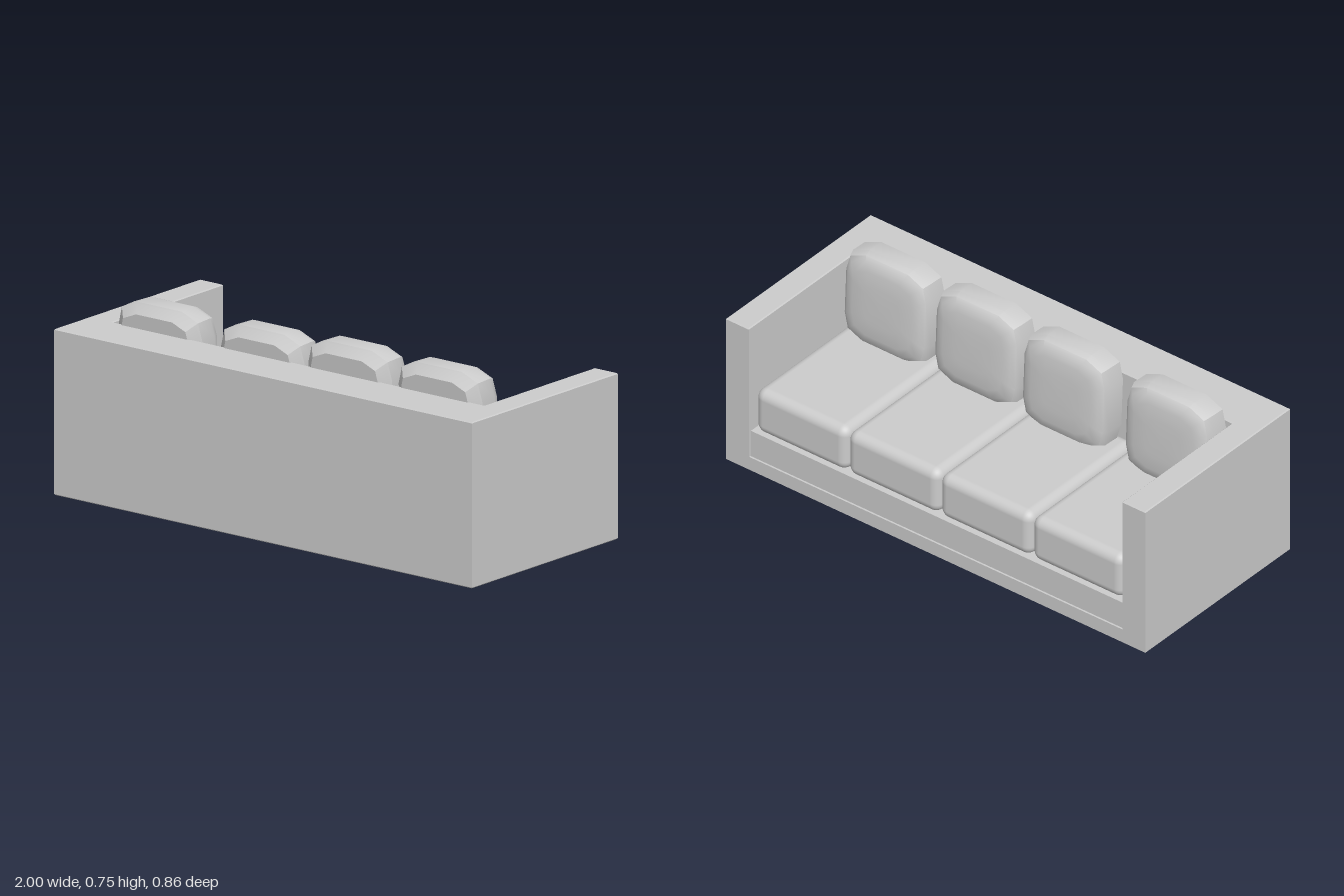
import * as THREE from 'three';
import { toCreasedNormals } from 'three/addons/utils/BufferGeometryUtils.js';
import { RoundedBoxGeometry } from 'three/addons/geometries/RoundedBoxGeometry.js';

const fabric = new THREE.MeshStandardMaterial({ color: 0xcccccc });
fabric.name = 'greyFabric';

function part(name, geometry, x = 0, y = 0, z = 0) {
  const mesh = new THREE.Mesh(geometry, fabric);
  mesh.name = name;
  mesh.position.set(x, y, z);
  return mesh;
}

// U-shaped plan (arms and backrest) raised to full height, with a tiny edge bevel
function frameGeometry() {
  const plan = [[-1, -0.43], [1, -0.43], [1, 0.43], [0.89, 0.43],
    [0.89, -0.222], [-0.89, -0.222], [-0.89, 0.43], [-1, 0.43]];
  const shape = new THREE.Shape(plan.map(([x, y]) => new THREE.Vector2(x, y)));
  const bevel = 0.004;
  const geo = new THREE.ExtrudeGeometry(shape, {
    depth: 0.643 - 2 * bevel, bevelSize: bevel, bevelThickness: bevel,
    bevelOffset: -bevel, bevelSegments: 1,
  });
  geo.translate(0, 0, bevel);
  geo.rotateX(-Math.PI / 2);
  return geo;
}

// Pillow lofted through rings of a rounded square; front faces -z
function pillowGeometry() {
  const corner = [[0.2, 0.1], [0.182, 0.168], [0.105, 0.2]];
  const mirrored = (sx, sy) => corner.map(([x, y]) => [x * sx, y * sy]);
  const outline = [
    ...mirrored(1, 1), ...mirrored(-1, 1).reverse(),
    ...mirrored(-1, -1), ...mirrored(1, -1).reverse(),
  ];
  // [z, inset scale] from back to front
  const rings = [[0.078, 0], [0.078, 0.82], [0.048, 0.97], [0.042, 1], [-0.03, 1],
    [-0.056, 0.95], [-0.07, 0.86], [-0.078, 0.7], [-0.081, 0.4], [-0.082, 0]];
  const n = outline.length;
  const positions = [];
  const indices = [];
  for (const [z, s] of rings) {
    for (const [x, y] of outline) positions.push(x * s, y * s, z);
  }
  for (let r = 0; r < rings.length - 1; r++) {
    for (let i = 0; i < n; i++) {
      const a = r * n + i, b = r * n + (i + 1) % n;
      const c = a + n, d = b + n;
      if (r > 0) indices.push(a, c, b);
      if (r < rings.length - 2) indices.push(b, c, d);
      else continue;
    }
  }
  const geo = new THREE.BufferGeometry();
  geo.setAttribute('position', new THREE.Float32BufferAttribute(positions, 3));
  geo.setIndex(indices);
  // the collapsed first ring needs its outward triangles
  const cap = [];
  for (let i = 0; i < n; i++) cap.push(i, n + i, n + (i + 1) % n);
  geo.setIndex([...cap, ...indices.filter((_, k) => k >= 3 * n)]);
  return toCreasedNormals(geo, 0.55);
}

export function createModel() {
  const sofa = new THREE.Group();
  sofa.name = 'sofa';

  // Arms, backrest and base
  sofa.add(part('armsAndBackrest', frameGeometry()));
  sofa.add(part('baseSlab', new THREE.BoxGeometry(1.79, 0.058, 0.66), 0, 0.031, -0.098));
  sofa.add(part('seatPlinth', new THREE.BoxGeometry(1.776, 0.115, 0.645), 0, 0.1175, -0.0975));

  // Four seat cushions side by side
  const seat = new RoundedBoxGeometry(0.438, 0.195, 0.634, 4, 0.04);
  for (let i = 0; i < 4; i++) {
    sofa.add(part('seatCushion', seat, -0.658 + i * 0.4387, 0.27, -0.098));
  }

  // Four loose back pillows, leaning slightly on the backrest
  const pillow = pillowGeometry();
  for (const [x, y] of [[-0.68, 0.538], [-0.19, 0.538], [0.228, 0.552], [0.66, 0.548]]) {
    const mesh = part('backPillow', pillow, x, y, 0.15);
    mesh.rotation.x = 0.05;
    sofa.add(mesh);
  }
  return sofa;
}
